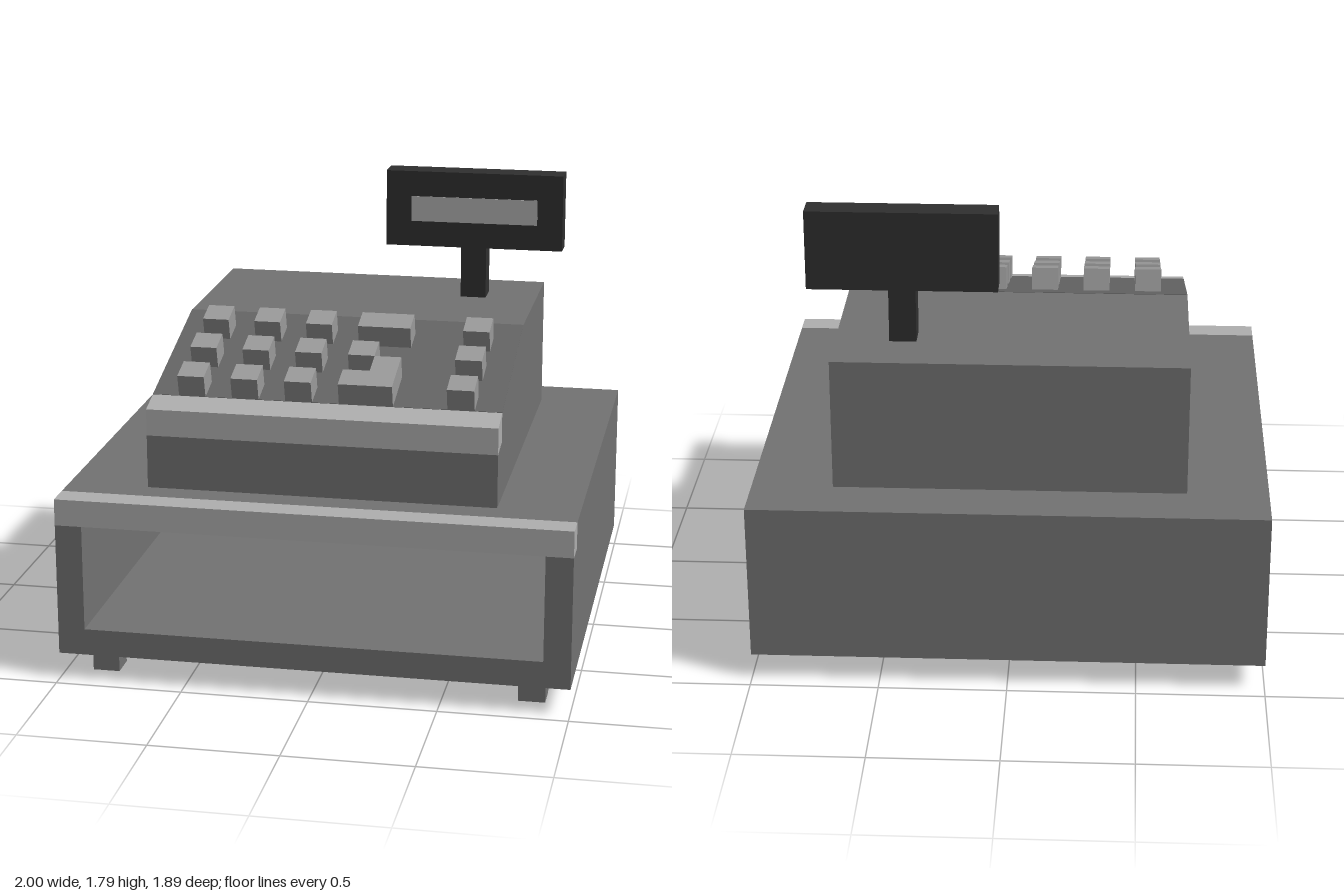
import * as THREE from 'three';

const U = 2 / 19; // the design sits on a 19-unit-wide module
const mat = (color) => new THREE.MeshStandardMaterial({ color });

export function createModel() {
  const model = new THREE.Group();
  model.name = 'cashRegister';
  const body = mat(0x737373), trim = mat(0xb0b0b0), panel = mat(0x666666);
  const keyMat = mat(0x9c9c9c), dark = mat(0x303030);

  const add = (name, geometry, material, parent = model) => {
    const mesh = new THREE.Mesh(geometry, material);
    mesh.name = name;
    parent.add(mesh);
    return mesh;
  };
  // box between two corners, in module units
  const box = (name, [x0, y0, z0], [x1, y1, z1], material) => {
    const g = new THREE.BoxGeometry((x1 - x0) * U, (y1 - y0) * U, (z1 - z0) * U);
    g.translate((x0 + x1) / 2 * U, (y0 + y1) / 2 * U, (z0 + z1) / 2 * U);
    return add(name, g, material);
  };
  const outline = (pts) => pts.map(([a, b]) => new THREE.Vector2(a * U, b * U));
  const prism = (pts, depth, hole) => {
    const shape = new THREE.Shape(outline(pts));
    if (hole) shape.holes.push(new THREE.Path(outline(hole)));
    return new THREE.ExtrudeGeometry(shape, { depth: depth * U, bevelEnabled: false });
  };
  // side profile in (z, y), swept across the full width
  const sideProfile = (pts, halfWidth) =>
    prism(pts, halfWidth * 2).rotateY(-Math.PI / 2).translate(halfWidth * U, 0, 0);

  // Base: hollow drawer housing open at the front
  const h = 9.5, w = 8.5;
  add('drawerHousing', prism(
    [[-h, 1], [h, 1], [h, 7], [-h, 7]], 16,
    [[-w, 2], [-w, 6], [w, 6], [w, 2]]
  ).translate(0, 0, -8 * U), body);
  add('drawerFrontFrame', prism(
    [[-h, 1], [h, 1], [h, 6], [w, 6], [w, 2], [-w, 2], [-w, 6], [-h, 6]], 1
  ).translate(0, 0, 8 * U), body);
  box('housingBack', [-h, 1, -9], [h, 7, -8], body);
  box('drawerTrim', [-h, 6, 8], [h, 7, 9], trim);

  // Feet
  for (const x of [-8.5, 7.5])
    for (const z of [-7, 7]) box('foot', [x, 0, z], [x + 1, 1, z + 1], body);

  // Upper body with sloping key deck
  const deckY = (z) => 12 - z * 2 / 7;
  add('upperBody', sideProfile(
    [[-7, 7], [7, 7], [7, 9], [6, 9.17], [6, deckY(6)], [0, 12], [-7, 12]], 6.5), body);
  add('deckTrim', sideProfile(
    [[6, 9.17], [7, 9], [7, 10], [6, deckY(6)]], 6.5), trim);
  add('keyDeck', sideProfile(
    [[6, deckY(6) - 0.02], [6, deckY(6) + 0.015], [0, 12.015], [0, 11.98]].reverse(), 6.5), panel);

  // Keys, laid out on the tilted deck: local y is away from the deck, -z is up the slope
  const tilt = Math.atan(2 / 7), d = 1 / Math.cos(tilt), keyH = 0.86;
  const keys = new THREE.Group();
  keys.name = 'keypad';
  keys.position.set(0, deckY(6) * U, 6 * U);
  keys.rotation.x = tilt;
  model.add(keys);
  const key = (name, pts) => add(name, prism(pts, keyH).rotateX(-Math.PI / 2), keyMat, keys);
  const rectKey = (name, x, row, width) => {
    const s = row * 2 * d;
    key(name, [[x, s], [x + width, s], [x + width, s + d], [x, s + d]]);
  };
  for (let row = 0; row < 3; row++)
    for (const x of [-5.5, -3.5, -1.5, 4.5]) rectKey('key', x, row, 1);
  rectKey('key', 0.5, 1, 1);
  rectKey('wideKey', 0.5, 2, 2);
  key('cornerKey', [[0.5, 0], [2.5, 0], [2.5, 2 * d], [1.5, 2 * d], [1.5, d], [0.5, d]]);

  // Customer display on a post
  box('displayPost', [3.5, 12, -5], [4.5, 14, -4], dark);
  box('displayCase', [0.5, 14, -5], [7.5, 17, -4], dark);
  box('displayScreen', [1.5, 15, -4.1], [6.5, 16, -3.98], trim);

  return model;
}
